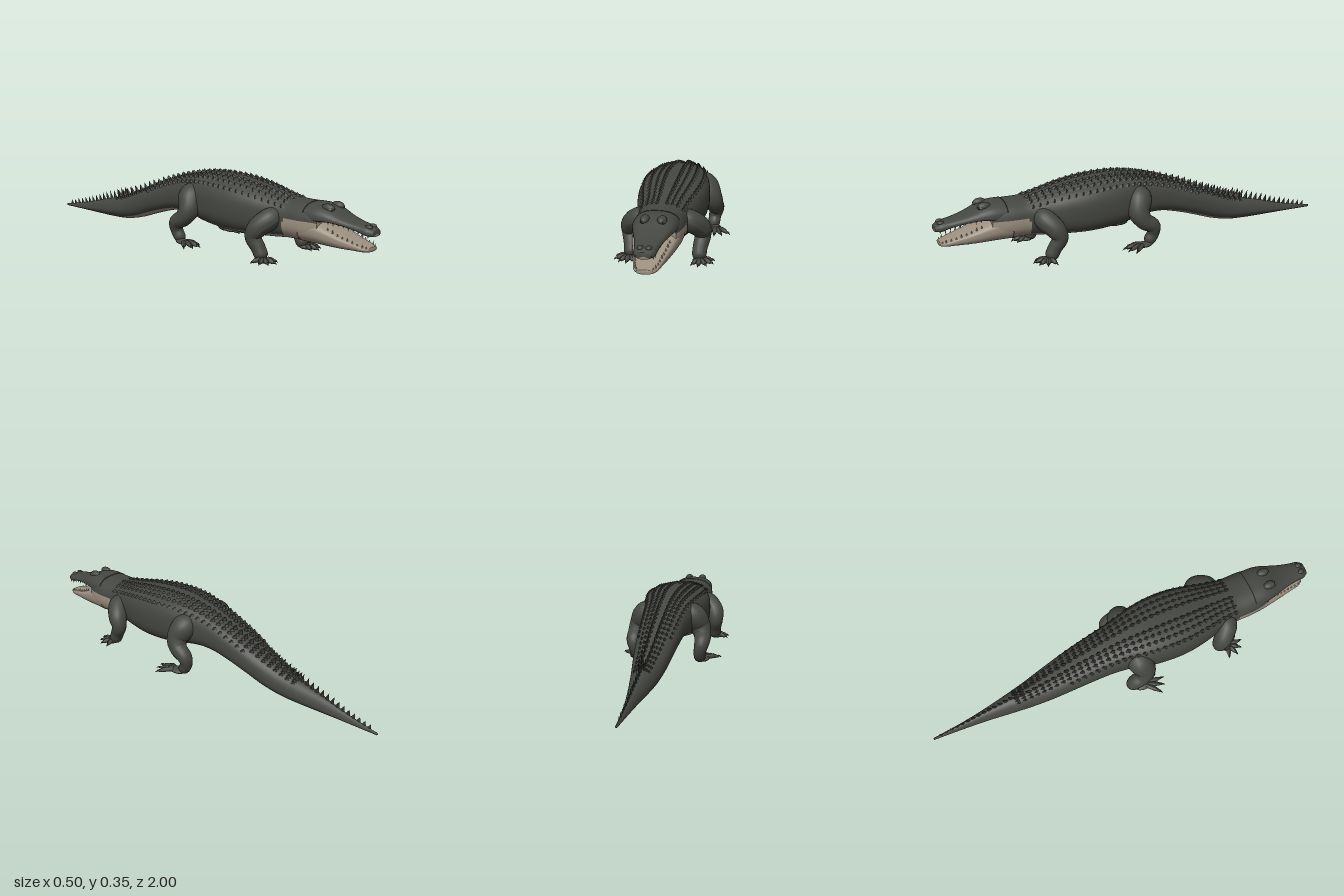
import * as THREE from 'three';
import { mergeGeometries } from 'three/addons/utils/BufferGeometryUtils.js';

const paint = (name, color) => Object.assign(new THREE.MeshStandardMaterial({ color }), { name });

// Cross-section keys, tail to nose: [z, halfWidth, top, bottom, widestHeight, squareness]
const BODY = [
  [-1.0, 0.005, 0.014, 0.003, 0.007, 1.7], [-0.9, 0.012, 0.032, 0.003, 0.012, 1.7],
  [-0.8, 0.021, 0.055, 0.003, 0.02, 1.7], [-0.7, 0.033, 0.082, 0.003, 0.032, 1.8],
  [-0.6, 0.048, 0.108, 0.005, 0.045, 1.9], [-0.5, 0.063, 0.136, 0.012, 0.065, 2.1],
  [-0.4, 0.078, 0.172, 0.034, 0.1, 2.3], [-0.3, 0.09, 0.215, 0.068, 0.14, 2.4],
  [-0.2, 0.1, 0.257, 0.1, 0.175, 2.5], [-0.1, 0.109, 0.293, 0.123, 0.2, 2.6],
  [0.0, 0.123, 0.32, 0.122, 0.21, 2.7], [0.1, 0.147, 0.334, 0.103, 0.21, 2.8],
  [0.2, 0.159, 0.335, 0.09, 0.21, 2.8], [0.3, 0.158, 0.328, 0.085, 0.205, 2.8],
  [0.4, 0.142, 0.314, 0.087, 0.2, 2.7], [0.5, 0.119, 0.295, 0.092, 0.195, 2.5],
  [0.58, 0.11, 0.281, 0.1, 0.19, 2.4], [0.66, 0.11, 0.279, 0.1, 0.19, 2.4],
  [0.72, 0.102, 0.281, 0.1, 0.19, 2.4], [0.755, 0.09, 0.272, 0.106, 0.19, 2.3],
];
const UPPER_JAW = [
  [0.68, 0.098, 0.281, 0.19, 0.22, 2.4], [0.74, 0.096, 0.28, 0.2, 0.222, 2.4],
  [0.79, 0.086, 0.268, 0.208, 0.222, 2.4], [0.84, 0.071, 0.246, 0.205, 0.215, 2.5],
  [0.89, 0.058, 0.231, 0.196, 0.206, 2.5], [0.94, 0.049, 0.221, 0.183, 0.196, 2.5],
  [0.975, 0.045, 0.215, 0.173, 0.188, 2.5], [1.0, 0.03, 0.202, 0.174, 0.186, 2.3],
];
const LOWER_JAW = [
  [0.66, 0.106, 0.215, 0.1, 0.17, 2.4], [0.73, 0.1, 0.215, 0.099, 0.17, 2.4],
  [0.79, 0.087, 0.19, 0.098, 0.155, 2.5], [0.85, 0.073, 0.163, 0.098, 0.14, 2.6],
  [0.91, 0.06, 0.143, 0.1, 0.128, 2.6], [0.955, 0.05, 0.13, 0.101, 0.119, 2.5],
  [0.982, 0.033, 0.124, 0.105, 0.115, 2.3],
];

// Smooth interpolation of a key table at u in 0..1
function sample(keys, u) {
  const f = u * (keys.length - 1), i = Math.min(Math.floor(f), keys.length - 2), t = f - i;
  const at = k => keys[Math.max(0, Math.min(keys.length - 1, k))];
  return keys[0].map((_, c) => {
    const [p, a, b, n] = [at(i - 1)[c], at(i)[c], at(i + 1)[c], at(i + 2)[c]];
    return a + 0.5 * t * (b - p + t * (2 * p - 5 * a + 4 * b - n + t * (3 * (a - b) + n - p)));
  });
}

// Skin through the key sections; rule(x, y, z, v) picks the second material
function loft(keys, rings, rule, seg = 48) {
  const pos = [], vs = [], groups = [[], []];
  for (let i = -1; i <= rings + 1; i++) {
    const [z, w, top, bot, mid, e] = sample(keys, Math.max(0, Math.min(1, i / rings)));
    const size = i < 0 || i > rings ? 0.001 : 1;
    for (let j = 0; j < seg; j++) {
      const a = (j / seg) * Math.PI * 2, c = Math.cos(a), s = Math.sin(a);
      const v = Math.sign(s) * Math.abs(s) ** (2 / e);
      pos.push(size * w * Math.sign(c) * Math.abs(c) ** (2 / e), mid + size * v * (s > 0 ? top - mid : mid - bot), z);
      vs.push(v);
    }
  }
  for (let i = 0; i < rings + 2; i++) for (let j = 0; j < seg; j++) {
    const a = i * seg + j, b = i * seg + (j + 1) % seg, c = a + seg, d = b + seg;
    const m = k => (pos[a * 3 + k] + pos[d * 3 + k]) / 2;
    groups[rule(m(0), m(1), m(2), (vs[a] + vs[d]) / 2) ? 1 : 0].push(a, b, c, b, d, c);
  }
  const g = new THREE.BufferGeometry();
  g.setAttribute('position', new THREE.Float32BufferAttribute(pos, 3));
  g.setIndex([...groups[0], ...groups[1]]);
  g.addGroup(0, groups[0].length, 0);
  g.addGroup(groups[0].length, groups[1].length, 1);
  g.computeVertexNormals();
  return g;
}

// Section of the table at a given z
function sectionAt(keys, z) {
  let lo = 0, hi = 1;
  for (let k = 0; k < 30; k++) {
    const m = (lo + hi) / 2;
    if (sample(keys, m)[0] < z) lo = m; else hi = m;
  }
  return sample(keys, lo);
}

// Tapered tube through [x, y, z, radius] points
function sweep(points, n = 20, sides = 14) {
  const curve = new THREE.CatmullRomCurve3(points.map(p => new THREE.Vector3(p[0], p[1], p[2])));
  const g = new THREE.TubeGeometry(curve, n, 1, sides), p = g.attributes.position;
  const v = new THREE.Vector3(), radii = points.map(q => [q[3]]);
  for (let i = 0; i <= n; i++) {
    const t = curve.getUtoTmapping(i / n), c = curve.getPoint(t), r = Math.max(0.0005, sample(radii, t)[0]);
    for (let j = 0; j <= sides; j++) {
      const k = i * (sides + 1) + j;
      v.fromBufferAttribute(p, k).sub(c).multiplyScalar(r).add(c);
      p.setXYZ(k, v.x, Math.max(0.001, v.y), v.z);
    }
  }
  g.computeVertexNormals();
  return g;
}

// Pointed ridge plate leaning backwards
function spike(x, y, z, w, h, len, lean) {
  const g = new THREE.ConeGeometry(1, 1, 4).toNonIndexed();
  g.translate(0, 0.5, 0).scale(w, h, len);
  g.applyMatrix4(new THREE.Matrix4().set(1, 0, 0, x, 0, 1, 0, y, 0, -lean, 1, z, 0, 0, 0, 1));
  g.computeVertexNormals();
  return g;
}

const ball = (x, y, z, a, b, c) => new THREE.SphereGeometry(1, 20, 14).scale(a, b, c).translate(x, y, z);

export function createModel() {
  const root = new THREE.Group();
  root.name = 'crocodile';
  const hide = paint('darkHide', 0x454742), belly = paint('paleBelly', 0x9c9080);
  const scale = paint('scutes', 0x3b3d38), claw = paint('claws', 0x2b2b28);
  const ivory = paint('teeth', 0xbfb39c), iris = paint('eyes', 0x77694a);
  const add = (name, geometry, material, parent = root) => {
    const m = new THREE.Mesh(geometry, material);
    m.name = name;
    parent.add(m);
    return m;
  };

  // Body and jaws
  const bodyRule = (x, y, z, v) => z > 0.575 + 6 * (y - 0.16) ** 2 ? y < 0.208 : z > -0.6 && v < -0.76;
  add('body', loft(BODY, 150, bodyRule), [hide, belly]);
  add('upperJaw', loft(UPPER_JAW, 40, (x, y, z, v) => v < -0.6), [hide, belly]);
  add('lowerJaw', loft(LOWER_JAW, 40, () => true), [hide, belly]);

  // Rows of back scutes that converge into a tall tail crest
  const scutes = [], crest = [];
  const onBack = (z, f) => {
    const [, w, top, , mid, e] = sectionAt(BODY, z);
    return [f * w, mid + (top - mid) * (1 - Math.abs(f) ** e) ** (1 / e)];
  };
  for (let z = 0.57; z > -0.56; z -= 0.033) {
    const tail = THREE.MathUtils.smoothstep(-z, 0.0, 0.5);
    for (const f of [0.2, 0.4, 0.6, 0.82]) for (const side of [-1, 1]) {
      if (f > 0.7 && z < -0.3) continue;
      const [x, y] = onBack(z, f * side);
      const inner = f === 0.2, h = inner ? 0.017 + 0.02 * tail : f === 0.4 ? 0.013 : 0.015;
      scutes.push(spike(x, y - 0.004, z, 0.013 - 0.006 * tail, h, 0.019, 0.6));
    }
  }
  for (let z = -0.52; z > -0.975; z -= 0.029) {
    const t = (-z - 0.52) / 0.46;
    crest.push(spike(0, onBack(z, 0)[1] - 0.006, z, 0.007 - 0.004 * t, 0.05 - 0.026 * t, 0.014, 0.35));
  }
  add('backScutes', mergeGeometries(scutes), scale);
  add('tailCrest', mergeGeometries(crest), scale);

  // Teeth along both jaws
  const teeth = [];
  for (let k = 0; k < 9; k++) for (const side of [-1, 1]) {
    const z = 0.8 + k * 0.0225, h = k % 3 === 1 ? 0.017 : 0.011;
    const u = sectionAt(UPPER_JAW, z), l = sectionAt(LOWER_JAW, Math.min(z, 0.972));
    const cone = () => new THREE.ConeGeometry(0.0042, h, 6);
    teeth.push(cone().rotateX(Math.PI).translate(side * u[1] * 0.85, u[3] - h / 2 + 0.006, z));
    teeth.push(cone().translate(side * l[1] * 0.85, l[2] + h / 2 - 0.005, Math.min(z, 0.972)));
  }
  add('teeth', mergeGeometries(teeth), ivory);

  // Brows, eyes and nostrils
  for (const s of [-1, 1]) {
    add('brow', ball(s * 0.036, 0.268, 0.775, 0.02, 0.019, 0.032), hide);
    add('eye', ball(s * 0.042, 0.265, 0.789, 0.012, 0.01, 0.015), iris);
    add('pupil', ball(s * 0.045, 0.265, 0.797, 0.006, 0.008, 0.009), claw);
    add('nostril', ball(s * 0.017, 0.212, 0.97, 0.013, 0.01, 0.017), hide);
  }

  // Legs with splayed clawed toes
  const legs = {
    front: {
      path: [[0.07, 0.21, 0.53, 0.04], [0.115, 0.19, 0.515, 0.05], [0.155, 0.15, 0.478, 0.046], [0.163, 0.11, 0.462, 0.037],
        [0.155, 0.065, 0.485, 0.033], [0.152, 0.025, 0.505, 0.03], [0.152, 0.008, 0.515, 0.012]],
      palm: [0.158, 0.013, 0.518, 0.033, 0.013, 0.032],
      toes: [[0.125, 0.575], [0.158, 0.595], [0.195, 0.578], [0.222, 0.545], [0.222, 0.497]],
    },
    hind: {
      path: [[0.07, 0.24, 0.04, 0.05], [0.115, 0.225, 0.045, 0.062], [0.15, 0.17, 0.06, 0.052], [0.165, 0.13, 0.04, 0.042],
        [0.168, 0.1, -0.004, 0.036], [0.16, 0.06, -0.008, 0.03], [0.158, 0.025, 0.012, 0.027], [0.16, 0.008, 0.025, 0.012]],
      palm: [0.168, 0.013, 0.045, 0.03, 0.013, 0.046],
      toes: [[0.143, 0.125], [0.175, 0.157], [0.212, 0.145], [0.248, 0.118]],
    },
  };
  for (const [kind, { path, palm, toes }] of Object.entries(legs)) for (const s of [1, -1]) {
    const leg = new THREE.Group();
    leg.name = kind + (s > 0 ? 'LeftLeg' : 'RightLeg');
    root.add(leg);
    const flip = pts => pts.map(([x, ...r]) => [s * x, ...r]);
    add('limb', sweep(flip(path), 36, 20), hide, leg);
    add('foot', ball(s * palm[0], ...palm.slice(1)), hide, leg);
    for (const [tx, tz] of toes) {
      const at = (t, y, r) => [palm[0] + (tx - palm[0]) * t, y, palm[2] + (tz - palm[2]) * t, r];
      add('toe', sweep(flip([at(0.1, 0.014, 0.011), at(0.4, 0.017, 0.012), at(0.65, 0.014, 0.01), at(0.82, 0.009, 0.005)]), 8, 10), hide, leg);
      add('claw', sweep(flip([at(0.72, 0.012, 0.006), at(0.86, 0.012, 0.005), at(1, 0.004, 0.0005)]), 6, 8), claw, leg);
    }
  }
  return root;
}
